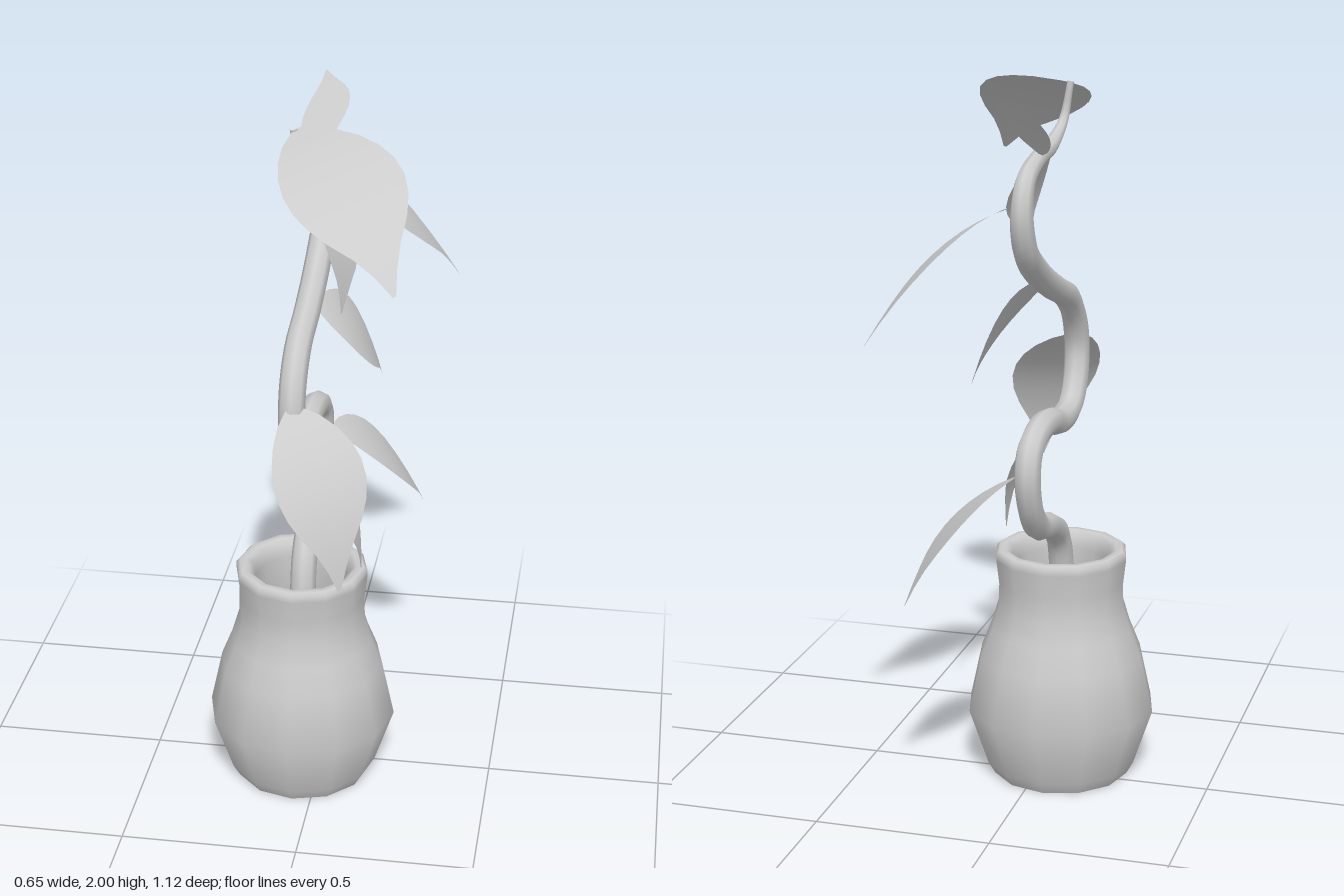
import * as THREE from 'three';

const mat = new THREE.MeshStandardMaterial({ color: 0xcccccc });
const leafMat = new THREE.MeshStandardMaterial({ color: 0xcccccc, side: THREE.DoubleSide });
const vec = (a) => new THREE.Vector3(...a);

function add(parent, name, geometry, material) {
  const mesh = new THREE.Mesh(geometry, material);
  mesh.name = name;
  parent.add(mesh);
  return mesh;
}

// Vase with a rounded rim and a hollow inside
function makePot() {
  const pot = new THREE.Group();
  pot.name = 'pot';
  const profile = [
    [0.197, 0], [0.217, 0.035], [0.272, 0.2], [0.237, 0.36], [0.205, 0.44], [0.184, 0.51],
    [0.182, 0.58], [0.19, 0.65], [0.19, 0.668], [0.18, 0.678], [0.16, 0.678], [0.142, 0.665],
    [0.135, 0.63], [0.135, 0.52], [0.16, 0.42], [0.2, 0.3], [0.2, 0.17], [0.12, 0.07], [0, 0.05],
  ].map(([r, y]) => new THREE.Vector2(r, y));
  add(pot, 'potBody', new THREE.LatheGeometry(profile, 12), mat);
  add(pot, 'potBase', new THREE.CircleGeometry(0.197, 12).rotateX(Math.PI / 2), mat);
  pot.position.set(-0.054, 0, 0.046);
  return pot;
}

// Winding stem, thinning towards the tip
function makeStem() {
  const path = [
    [-0.045, 0.3, 0.08], [-0.045, 0.62, 0.08], [-0.045, 0.715, 0.04], [-0.045, 0.77, -0.05],
    [-0.045, 0.805, -0.17], [-0.045, 0.875, -0.24], [-0.045, 0.97, -0.27], [-0.045, 1.035, -0.25],
    [-0.047, 1.075, -0.18], [-0.05, 1.08, -0.075], [-0.05, 1.052, 0.03], [-0.052, 1.065, 0.14],
    [-0.052, 1.125, 0.2], [-0.05, 1.22, 0.228], [-0.05, 1.31, 0.2], [-0.048, 1.385, 0.13],
    [-0.043, 1.44, 0], [-0.04, 1.51, -0.15], [-0.038, 1.59, -0.26], [-0.037, 1.69, -0.293],
    [-0.037, 1.77, -0.26], [-0.037, 1.812, -0.15], [-0.038, 1.835, 0], [-0.045, 1.89, 0.095],
    [-0.06, 1.99, 0.11],
  ].map(vec);
  const curve = new THREE.CatmullRomCurve3(path);
  const rings = 110, sides = 8;
  const geo = new THREE.TubeGeometry(curve, rings, 0.037, sides);
  const pos = geo.attributes.position, p = new THREE.Vector3();
  for (let i = 0; i <= rings; i++) {
    const t = i / rings, centre = curve.getPointAt(t);
    const taper = 1 - 0.38 * THREE.MathUtils.smoothstep(t, 0.72, 0.9)
      - 0.35 * THREE.MathUtils.smoothstep(t, 0.9, 1);
    for (let j = 0; j <= sides; j++) {
      const k = i * (sides + 1) + j;
      p.fromBufferAttribute(pos, k).sub(centre).multiplyScalar(taper).add(centre);
      pos.setXYZ(k, p.x, p.y, p.z);
    }
  }
  const stem = new THREE.Mesh(geo, mat);
  stem.name = 'stem';
  return stem;
}

// Leaf blade: a midrib arc from base through middle to tip, widened along a side vector
const blade = [0.08, 0.48, 0.74, 0.91, 1, 1, 0.9, 0.7, 0.42, 0.2, 0.03];
function leafGeometry(base, middle, tip, side) {
  const b = vec(base), e = vec(tip), s = vec(side);
  const control = vec(middle).multiplyScalar(2).addScaledVector(b, -0.5).addScaledVector(e, -0.5);
  const rib = new THREE.QuadraticBezierCurve3(b, control, e);
  const rows = blade.length - 1, cols = 4;
  const geo = new THREE.PlaneGeometry(1, 1, cols, rows);
  for (let i = 0; i <= rows; i++) {
    for (let j = 0; j <= cols; j++) {
      const p = rib.getPoint(i / rows).addScaledVector(s, (j / cols * 2 - 1) * blade[i]);
      geo.attributes.position.setXYZ(i * (cols + 1) + j, p.x, p.y, p.z);
    }
  }
  geo.computeVertexNormals();
  return geo;
}

// Each leaf: base, middle, tip, half-width vector
const leaves = {
  topLeaf: [[-0.05, 1.99, 0.1], [0.12, 1.91, 0.355], [0.265, 1.73, 0.575], [0.13, 0.035, -0.075]],
  upwardLeaf: [[-0.05, 1.83, -0.16], [-0.032, 1.93, -0.27], [-0.05, 2, -0.39], [0.064, 0.03, -0.012]],
  upperBackLeaf: [[-0.01, 1.71, -0.28], [0.155, 1.605, -0.405], [0.325, 1.37, -0.51], [0.06, -0.035, 0.125]],
  upperFrontLeaf: [[-0.03, 1.82, -0.01], [0.06, 1.695, 0.095], [0.08, 1.52, 0.2], [0.035, -0.04, -0.085]],
  middleBackLeaf: [[-0.02, 1.45, -0.005], [0.085, 1.345, -0.11], [0.14, 1.165, -0.215], [-0.035, 0.065, -0.07]],
  middleFrontLeaf: [[-0.05, 1.26, 0.235], [0.06, 1.09, 0.385], [0.115, 0.825, 0.455], [0.105, 0.01, -0.08]],
  lowerFrontLeaf: [[-0.03, 1.05, 0.11], [0.085, 0.91, 0.112], [0.125, 0.705, 0.1], [0, 0, 0.097]],
  lowerBackLeaf: [[-0.01, 0.97, -0.25], [0.14, 0.85, -0.355], [0.255, 0.635, -0.43], [0.055, -0.035, 0.1]],
};

export function createModel() {
  const plant = new THREE.Group();
  plant.name = 'pottedVine';
  plant.add(makePot(), makeStem());
  for (const [name, shape] of Object.entries(leaves)) add(plant, name, leafGeometry(...shape), leafMat);
  return plant;
}
